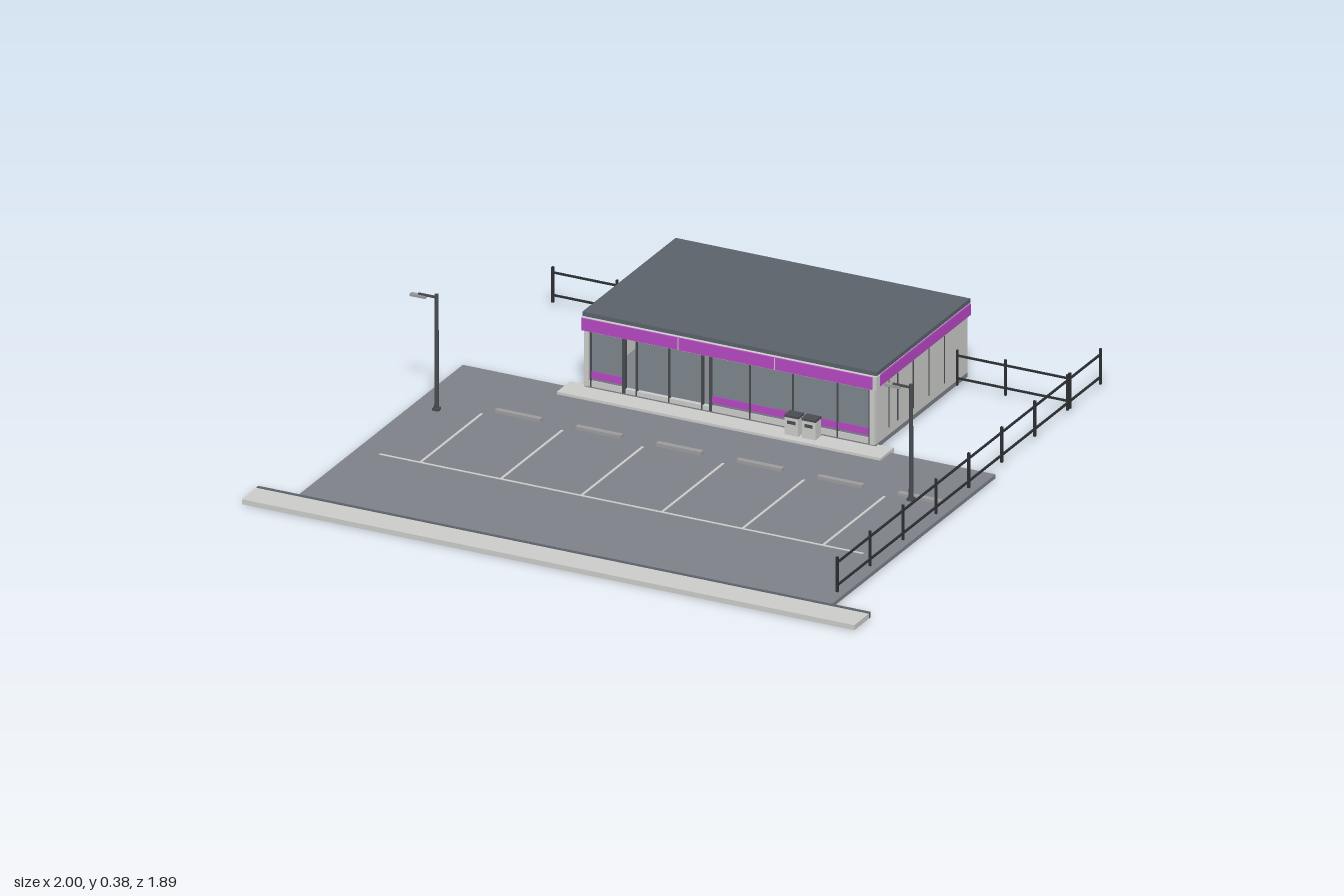
import * as THREE from 'three';

const mat = (name, color) => {
  const m = new THREE.MeshStandardMaterial({ color });
  m.name = name;
  return m;
};

export function createModel() {
  const root = new THREE.Group();
  root.name = 'roadsideShop';
  const asphalt = mat('asphalt', 0x7d8188);
  const concrete = mat('pale concrete', 0xcbcbc9);
  const roofGrey = mat('roof slate', 0x5a616a);
  const purple = mat('purple', 0xb548c2);
  const glass = mat('grey glass', 0x7d868c);
  const black = mat('fence black', 0x2c2f32);
  const steel = mat('dark steel', 0x484c50);
  const stopGrey = mat('wheel stop grey', 0x9a9b9a);

  const group = (name, parent = root) => {
    const g = new THREE.Group();
    g.name = name;
    parent.add(g);
    return g;
  };
  // Box given by its minimum and maximum on each axis
  const box = (parent, name, m, x0, x1, y0, y1, z0, z1) => {
    const mesh = new THREE.Mesh(new THREE.BoxGeometry(x1 - x0, y1 - y0, z1 - z0), m);
    mesh.position.set((x0 + x1) / 2, (y0 + y1) / 2, (z0 + z1) / 2);
    mesh.name = name;
    parent.add(mesh);
    return mesh;
  };

  // Ground: parking lot, road pavement with kerb, shop apron
  const ground = group('ground');
  box(ground, 'parkingLot', asphalt, -0.87, 0.87, 0.002, 0.014, -0.22, 0.836);
  box(ground, 'pavement', concrete, -1, 1, 0, 0.016, 0.847, 0.94);
  box(ground, 'kerb', roofGrey, -1, 1, 0, 0.018, 0.836, 0.847);
  box(ground, 'shopApron', concrete, -0.53, 0.527, 0.004, 0.022, -0.24, -0.155);

  // Painted bay lines and wheel stops
  const bays = group('parkingBays');
  for (let i = 0; i < 6; i++) {
    const x = -0.66 + i * 0.263;
    box(bays, 'bayLine', concrete, x - 0.004, x + 0.004, 0.014, 0.0155, 0.07, 0.465);
    const c = -0.555 + i * 0.263;
    box(bays, 'wheelStop', stopGrey, c - 0.074, c + 0.074, 0.014, 0.024, 0.031, 0.048);
  }
  box(bays, 'bayEndLine', concrete, -0.793, 0.787, 0.014, 0.0155, 0.461, 0.469);

  // Shop shell
  const shop = group('shop');
  box(shop, 'floorSlab', asphalt, -0.475, 0.475, 0.012, 0.026, -0.813, -0.225);
  box(shop, 'backWall', concrete, -0.475, 0.475, 0.026, 0.247, -0.815, -0.803);
  for (const s of [-1, 1]) {
    box(shop, 'sideWall', concrete, s * 0.469 - 0.006, s * 0.469 + 0.006, 0.026, 0.247, -0.803, -0.228);
  }
  box(shop, 'roof', roofGrey, -0.481, 0.481, 0.247, 0.26, -0.82, -0.222);

  // Sign bands on the front and the left side
  const fascia = group('fascia', shop);
  box(fascia, 'frontFascia', concrete, -0.48, 0.485, 0.205, 0.247, -0.238, -0.212);
  box(fascia, 'frontBand', purple, -0.476, 0.472, 0.208, 0.246, -0.212, -0.207);
  box(fascia, 'sideFascia', concrete, 0.475, 0.482, 0.208, 0.247, -0.815, -0.238);
  box(fascia, 'sideBand', purple, 0.482, 0.486, 0.211, 0.246, -0.815, -0.235);
  for (const x of [-0.16, 0.155]) {
    box(fascia, 'bandSeam', concrete, x - 0.0015, x + 0.0015, 0.208, 0.246, -0.207, -0.206);
  }

  // Glazed front with an entrance
  const front = group('shopFront', shop);
  for (const x of [-0.468, 0.465]) {
    box(front, 'cornerPillar', concrete, x - 0.008, x + 0.008, 0.026, 0.207, -0.235, -0.222);
  }
  for (const [a, b] of [[-0.46, -0.345], [-0.06, 0.457]]) {
    box(front, 'window', glass, a, b, 0.045, 0.207, -0.233, -0.228);
    box(front, 'windowSill', concrete, a, b, 0.026, 0.045, -0.236, -0.225);
    box(front, 'windowStripe', purple, a, b, 0.052, 0.075, -0.228, -0.226);
  }
  box(front, 'entranceDoors', glass, -0.31, -0.09, 0.045, 0.207, -0.236, -0.23);
  box(front, 'doorStep', concrete, -0.345, -0.06, 0.026, 0.04, -0.238, -0.225);
  for (const x of [-0.455, -0.347, -0.306, -0.2, -0.092, -0.064, 0.065, 0.205, 0.35, 0.455]) {
    const w = x === -0.347 || x === -0.064 ? 0.005 : 0.0025;
    box(front, 'mullion', steel, x - w, x + w, 0.026, 0.207, -0.237, -0.224);
  }

  // Panel joints on the left wall
  for (const z of [-0.31, -0.365, -0.465, -0.565, -0.665]) {
    box(shop, 'wallJoint', steel, 0.475, 0.477, 0.05, 0.2, z - 0.002, z + 0.002);
  }

  // Shelving seen through the entrance gaps
  const shelving = group('shelving', shop);
  for (const x of [-0.33, -0.075]) {
    box(shelving, 'shelfBack', steel, x - 0.05, x + 0.05, 0.026, 0.17, -0.5, -0.49);
    for (let i = 0; i < 5; i++) {
      const y = 0.04 + i * 0.03;
      box(shelving, 'shelf', concrete, x - 0.05, x + 0.05, y, y + 0.008, -0.49, -0.44);
    }
  }

  // Litter bins
  for (const x of [0.222, 0.278]) {
    const bin = group('litterBin');
    box(bin, 'binBody', concrete, x - 0.022, x + 0.022, 0.022, 0.078, -0.218, -0.183);
    box(bin, 'binLid', steel, x - 0.023, x + 0.023, 0.078, 0.085, -0.219, -0.182);
    box(bin, 'binOpening', steel, x - 0.013, x + 0.013, 0.058, 0.068, -0.183, -0.181);
  }

  // Street lamps with arms pointing to the right
  for (const [x, z] of [[-0.79, 0.105], [0.735, 0.057]]) {
    const lamp = group('streetLamp');
    const pole = new THREE.Mesh(new THREE.CylinderGeometry(0.006, 0.007, 0.37, 10), steel);
    pole.name = 'lampPole';
    pole.position.set(x, 0.197, z);
    lamp.add(pole);
    box(lamp, 'lampFoot', steel, x - 0.01, x + 0.01, 0.012, 0.022, z - 0.01, z + 0.01);
    box(lamp, 'lampArm', steel, x - 0.06, x, 0.369, 0.375, z - 0.003, z + 0.003);
    box(lamp, 'lampHead', stopGrey, x - 0.085, x - 0.035, 0.362, 0.37, z - 0.007, z + 0.007);
  }

  // Fence run along x or z with evenly spaced posts and two rails
  const fence = (name, x0, z0, x1, z1, posts) => {
    const g = group(name);
    const r = 0.0028;
    for (let i = 0; i < posts; i++) {
      const t = posts > 1 ? i / (posts - 1) : 0;
      const x = x0 + (x1 - x0) * t, z = z0 + (z1 - z0) * t;
      box(g, 'fencePost', black, x - 0.0035, x + 0.0035, 0.012, 0.125, z - 0.0035, z + 0.0035);
    }
    for (const y of [0.035, 0.107]) {
      box(g, 'fenceRail', black, x0 - r, x1 + r, y - r, y + r, z0 - r, z1 + r);
    }
  };
  fence('sideFence', 0.844, -0.942, 0.844, 0.744, 9);
  fence('backFenceRight', -0.844, -0.745, -0.634, -0.745, 2);
  fence('backFenceRightInner', -0.634, -0.745, -0.475, -0.745, 1);
  fence('backFenceLeft', 0.634, -0.745, 0.844, -0.745, 2);
  fence('backFenceLeftInner', 0.475, -0.745, 0.634, -0.745, 1);

  return root;
}
